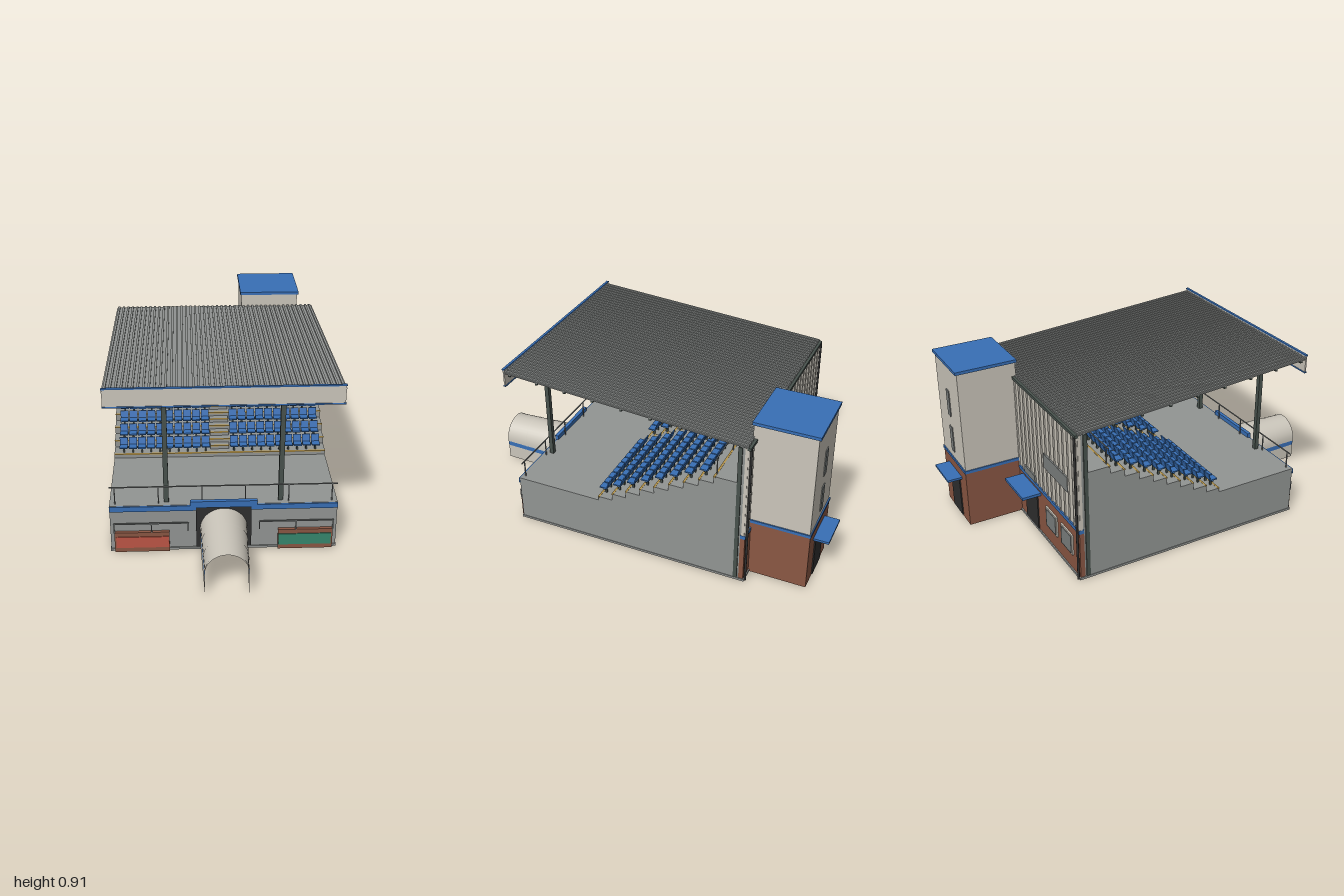
import * as THREE from 'three';
import { mergeGeometries } from 'three/addons/utils/BufferGeometryUtils.js';

const material = (name, color, side = THREE.FrontSide) => {
  const m = new THREE.MeshStandardMaterial({ color, side });
  m.name = name;
  return m;
};

export function createModel() {
  const concrete = material('concrete grey', 0x929593);
  const cream = material('cream cladding', 0xcbc6bb, THREE.DoubleSide);
  const blue = material('blue', 0x386fb6, THREE.DoubleSide);
  const brick = material('brick', 0x8a5743);
  const steel = material('dark steel', 0x48524d);
  const dark = material('dark opening', 0x2f2f2f);
  const red = material('red panel', 0xbd5645);
  const green = material('green panel', 0x36866d);
  const yellow = material('yellow nosing', 0xb8964a);
  const grey = material('galvanised grey', 0x7b7f7e);

  const model = new THREE.Group();
  model.name = 'grandstand';

  const add = (name, geometry, mat, parent = model) => {
    const mesh = new THREE.Mesh(geometry, mat);
    mesh.name = name;
    parent.add(mesh);
    return mesh;
  };
  // Box given by its limits on each axis
  const block = (x0, x1, y0, y1, z0, z1) =>
    new THREE.BoxGeometry(x1 - x0, y1 - y0, z1 - z0)
      .translate((x0 + x1) / 2, (y0 + y1) / 2, (z0 + z1) / 2);
  // Square bar between two points
  const bar = (a, b, t) => {
    const p = new THREE.Vector3(...a), q = new THREE.Vector3(...b);
    const m = new THREE.Matrix4().lookAt(q, p, Math.abs(q.y - p.y) > 0.9 * p.distanceTo(q)
      ? new THREE.Vector3(0, 0, 1) : new THREE.Vector3(0, 1, 0));
    m.setPosition(p.clone().add(q).multiplyScalar(0.5));
    return new THREE.BoxGeometry(t, t, p.distanceTo(q)).applyMatrix4(m);
  };

  // Stepped concrete terrace, extruded across x
  const ROWS = 8, GO = 0.0777, RISE = 0.0388, Z0 = 0.165, Y0 = 0.28;
  const profile = [[-0.58, 0], [0.63, 0], [0.63, 0.257], [Z0, 0.257]];
  for (let i = 0; i <= ROWS; i++) {
    profile.push([Z0 - i * GO, Y0 + i * RISE]);
    profile.push([i < ROWS ? Z0 - (i + 1) * GO : -0.58, Y0 + i * RISE]);
  }
  const terrace = new THREE.ExtrudeGeometry(
    new THREE.Shape(profile.map(p => new THREE.Vector2(...p))), { depth: 1.114, bevelEnabled: false });
  add('terrace', terrace.translate(0, 0, -0.557).rotateY(-Math.PI / 2), concrete);
  add('plinth', block(-0.56, 0.56, 0, 0.012, -0.63, 0.636), concrete);

  // Step nosings, and half steps in the centre aisle
  const nosings = [], halfSteps = [];
  for (let i = 0; i <= ROWS; i++) {
    const z = Z0 - i * GO, y = Y0 + i * RISE;
    nosings.push(block(-0.558, 0.558, y - 0.004, y + 0.001, z - 0.008, z + 0.002));
    if (i === ROWS) continue;
    halfSteps.push(block(-0.05, 0.05, y, y + RISE / 2, z - GO, z - GO / 2));
    nosings.push(block(-0.05, 0.05, y + RISE / 2 - 0.003, y + RISE / 2 + 0.001, z - GO / 2 - 0.008, z - GO / 2 + 0.002));
  }
  add('aisleSteps', mergeGeometries(halfSteps), concrete);
  add('stepNosings', mergeGeometries(nosings), yellow);

  // Two blocks of seats
  const seats = [], legs = [];
  for (let i = 0; i < ROWS; i++) {
    const z = Z0 - i * GO, y = Y0 + i * RISE;
    for (const side of [-1, 1]) {
      for (let j = 0; j < 10; j++) {
        const x = side * (0.075 + j * 0.048);
        seats.push(block(x - 0.021, x + 0.021, y + 0.034, y + 0.041, z - 0.034, z + 0.006));
        seats.push(new THREE.BoxGeometry(0.042, 0.04, 0.005).rotateX(-0.25).translate(x, y + 0.058, z - 0.04));
        legs.push(block(x - 0.004, x + 0.004, y, y + 0.034, z - 0.026, z - 0.016));
      }
      const a = side * 0.056, b = side * 0.528;
      legs.push(block(Math.min(a, b), Math.max(a, b), y + 0.028, y + 0.034, z - 0.026, z - 0.016));
    }
  }
  add('seats', mergeGeometries(seats), blue);
  add('seatLegs', mergeGeometries(legs), steel);

  // Guard rails along the front and behind the top row
  const railing = (name, y, h, z) => {
    const parts = [bar([-0.555, y + h, z], [0.555, y + h, z], 0.005)];
    for (const x of [-0.53, -0.318, -0.106, 0.106, 0.318, 0.53]) parts.push(bar([x, y, z], [x, y + h, z], 0.005));
    add(name, mergeGeometries(parts), grey);
  };
  railing('frontRailing', 0.257, 0.094, 0.61);
  railing('rearRailing', 0.59, 0.093, -0.463);

  // Pitch-side wall details, mirrored
  for (const s of [-1, 1]) {
    const span = (a, b, ...rest) => block(Math.min(s * a, s * b), Math.max(s * a, s * b), ...rest);
    add('wallStripe', span(0.135, 0.558, 0.227, 0.255, 0.63, 0.637), blue);
    add('dugoutFrame', span(0.268, 0.538, 0, 0.112, 0.628, 0.647), brick);
    add('dugoutPanel', span(0.27, 0.53, 0.026, 0.088, 0.647, 0.651), s < 0 ? red : green);
    const z = 0.645;
    add('handrail', mergeGeometries([
      bar([s * 0.175, 0.163, z], [s * 0.54, 0.163, z], 0.006),
      bar([s * 0.175, 0.118, z], [s * 0.175, 0.163, z], 0.006),
      bar([s * 0.355, 0.112, z], [s * 0.355, 0.163, z], 0.006),
      bar([s * 0.538, 0.112, z], [s * 0.538, 0.163, z], 0.006),
    ]), grey);
  }
  add('tunnelOpening', block(-0.136, 0.136, 0.013, 0.246, 0.628, 0.636), dark);
  add('tunnelHeader', block(-0.164, 0.164, 0.246, 0.281, 0.622, 0.642), blue);

  // Tapered tunnel: a shell lofted between a wide and a narrow arch
  const SPRING = 0.12;
  const loft = (section, z0, z1, grow = 0) => {
    const radius = z => 0.115 - (z - 0.636) / 0.364 * 0.012 + grow;
    const pos = [], index = [];
    for (const z of [z0, z1]) for (const p of section(radius(z))) pos.push(p[0], p[1], z);
    const n = pos.length / 6;
    for (let i = 0; i < n - 1; i++) index.push(i, i + n, i + 1, i + 1, i + n, i + n + 1);
    const g = new THREE.BufferGeometry();
    g.setAttribute('position', new THREE.Float32BufferAttribute(pos, 3));
    g.setIndex(index);
    g.computeVertexNormals();
    return g;
  };
  const arch = r => {
    const pts = [[r, 0.106]];
    for (let i = 0; i <= 20; i++) {
      const a = Math.PI * i / 20;
      pts.push([r * Math.cos(a), SPRING + r * Math.sin(a)]);
    }
    return [...pts, [-r, 0.106]];
  };
  const wall = (s, y0, y1) => r => s > 0 ? [[r, y0], [r, y1]] : [[-r, y1], [-r, y0]];
  const tunnel = new THREE.Group();
  tunnel.name = 'tunnel';
  model.add(tunnel);
  add('tunnelVault', loft(arch, 0.636, 1), cream, tunnel);
  for (const s of [1, -1]) {
    add('tunnelWall', loft(wall(s, 0, 0.08), 0.636, 1), cream, tunnel);
    add('tunnelStripe', loft(wall(s, 0.08, 0.106), 0.636, 1), blue, tunnel);
  }
  for (const z of [0.636, 0.755, 0.875, 0.99]) add('tunnelHoop', loft(arch, z, z + 0.01, 0.002), cream, tunnel);

  // Sloping ribbed roof with its front fascia
  const roofY = z => 0.842 + 0.0703 * (z - 0.02);
  const sheets = [new THREE.BoxGeometry(1.12, 0.006, 1.283)];
  for (let i = 0; i < 44; i++)
    sheets.push(new THREE.BoxGeometry(0.011, 0.008, 1.283).translate(-0.5475 + i * 0.02546, 0.006, 0));
  const roof = add('roofSheet', mergeGeometries(sheets), concrete);
  roof.position.set(0, 0.842, 0.02);
  roof.rotation.x = -Math.atan(0.0703);
  add('fascia', block(-0.558, 0.558, 0.816, 0.903, 0.655, 0.663), cream);
  add('fasciaTopTrim', block(-0.56, 0.56, 0.902, 0.908, 0.653, 0.666), blue);
  add('fasciaBottomTrim', block(-0.56, 0.56, 0.809, 0.816, 0.653, 0.666), blue);
  const purlins = [];
  for (let i = 0; i < 9; i++) {
    const z = 0.63 - i * 0.152;
    purlins.push(block(-0.556, 0.556, roofY(z) - 0.016, roofY(z) - 0.002, z - 0.006, z + 0.006));
  }
  add('purlins', mergeGeometries(purlins), steel);

  // Roof trusses on front columns
  const lowY = z => 0.79 + 0.046 * (z - 0.59);
  for (const x of [-0.28, 0.28]) {
    const t = 0.01, topY = z => roofY(z) - 0.02;
    const parts = [bar([x, topY(0.645), 0.645], [x, topY(-0.6), -0.6], t), bar([x, lowY(0.59), 0.59], [x, lowY(-0.58), -0.58], t)];
    for (let i = 0; i < 7; i++) {
      const z = 0.59 - i * 0.168, zn = z - 0.168;
      parts.push(bar([x, lowY(zn), zn], [x, topY(zn), zn], 0.006));
      parts.push(bar([x, lowY(z), z], [x, topY(zn), zn], 0.006));
    }
    add('truss', mergeGeometries(parts), steel);
    add('roofColumn', block(x - 0.012, x + 0.012, 0.257, roofY(0.59), 0.58, 0.602), steel);
  }

  // Rear wall: brick base, blue band and ribbed cladding
  add('rearWallCore', block(-0.552, 0.552, 0, 0.79, -0.615, -0.575), concrete);
  add('rearBrickBase', block(-0.555, 0.555, 0, 0.262, -0.624, -0.6), brick);
  add('rearBand', block(-0.556, 0.556, 0.262, 0.282, -0.627, -0.6), blue);
  const cladding = [block(-0.555, 0.555, 0.282, 0.79, -0.62, -0.605)];
  for (let i = 0; i < 23; i++) cladding.push(block(-0.553 + i * 0.05, -0.547 + i * 0.05, 0.282, 0.79, -0.627, -0.62));
  add('rearCladding', mergeGeometries(cladding), cream);
  add('gutter', block(-0.558, 0.558, 0.782, 0.797, -0.634, -0.616), steel);
  for (const s of [-1, 1]) {
    add('endColumn', block(s * 0.552 - 0.006, s * 0.552 + 0.006, 0, 0.79, -0.592, -0.572), steel);
    add('downpipe', new THREE.CylinderGeometry(0.006, 0.006, 0.785, 10).translate(s * 0.545, 0.3925, -0.632), dark);
  }

  // Rear windows, door and canopy
  add('longWindow', block(-0.45, -0.18, 0.44, 0.52, -0.63, -0.621), grey);
  for (const x of [-0.245, -0.42]) {
    add('windowFrame', block(x - 0.063, x + 0.063, 0.1, 0.215, -0.632, -0.624), cream);
    add('windowPane', block(x - 0.054, x + 0.054, 0.109, 0.206, -0.635, -0.631), grey);
  }
  add('rearDoor', block(-0.075, 0.075, 0.01, 0.212, -0.63, -0.622), dark);
  add('rearCanopy', block(-0.113, 0.113, 0.235, 0.25, -0.725, -0.62), blue);
  add('rearVent', block(-0.06, 0.07, 0.287, 0.325, -0.631, -0.622), grey);

  // Stair tower
  const tower = new THREE.Group();
  tower.name = 'stairTower';
  model.add(tower);
  add('towerBase', block(0.153, 0.475, 0, 0.312, -0.922, -0.61), brick, tower);
  add('towerBand', block(0.149, 0.479, 0.312, 0.328, -0.926, -0.606), blue, tower);
  add('towerShaft', block(0.155, 0.473, 0.328, 0.872, -0.92, -0.612), cream, tower);
  add('towerCap', block(0.147, 0.481, 0.872, 0.888, -0.93, -0.606), blue, tower);
  for (const y of [0.37, 0.58]) add('towerSlit', block(0.296, 0.334, y, y + 0.145, -0.925, -0.919), grey, tower);
  add('towerDoor', block(0.25, 0.38, 0.01, 0.235, -0.928, -0.92), dark, tower);
  add('towerCanopy', block(0.217, 0.41, 0.248, 0.26, -1, -0.92), blue, tower);

  return model;
}
